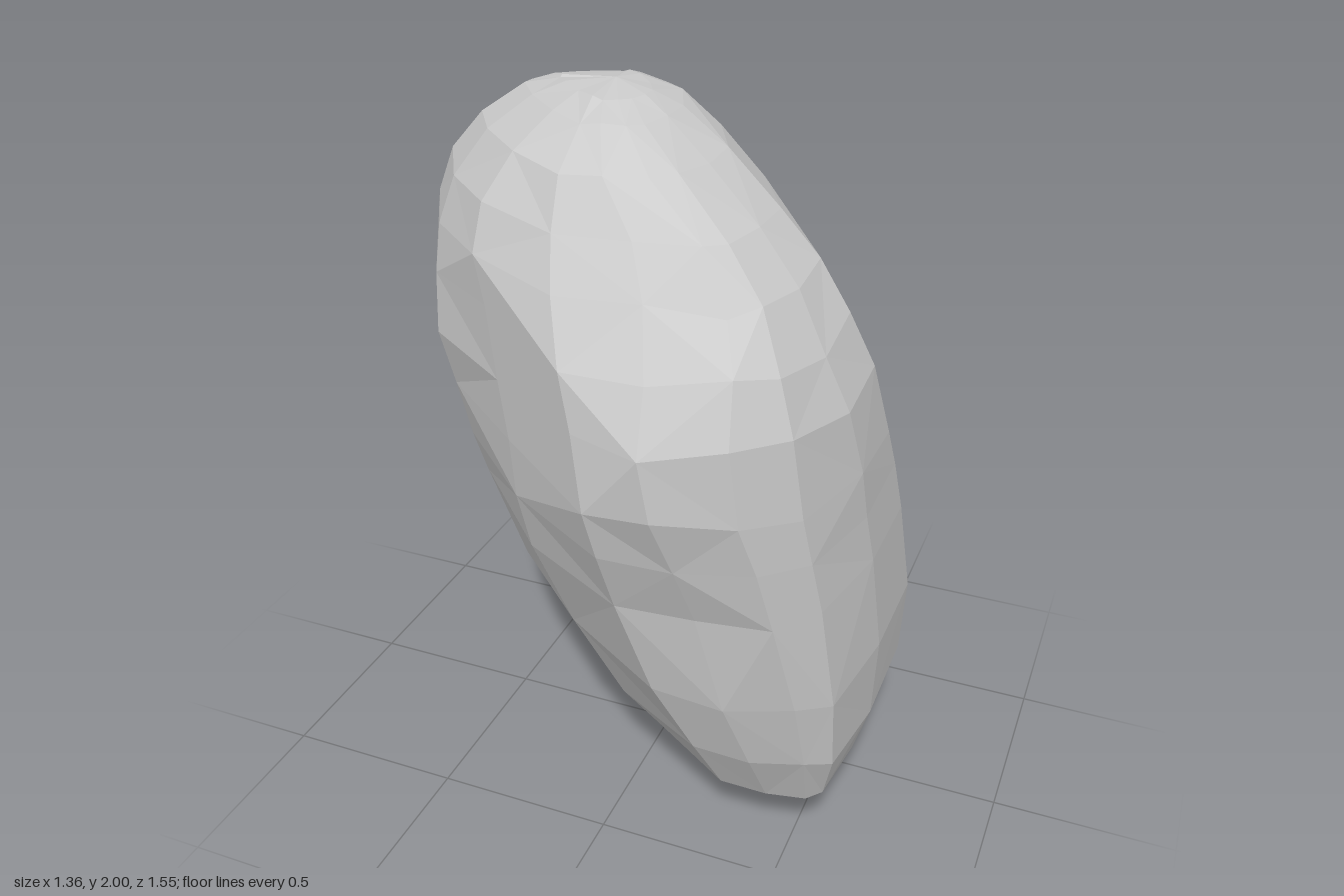
import * as THREE from 'three';

// Horizontal slices of the boulder: height, then its reach along eight
// compass directions (+x, +x+z, +z, -x+z, -x, -x-z, -z, +x-z).
const slices = [
  [0.02, 0.34, 0.27, 0.06, -0.08, 0.00, 0.26, 0.38, 0.42],
  [0.06, 0.47, 0.44, 0.18, 0.00, 0.10, 0.40, 0.50, 0.54],
  [0.12, 0.55, 0.56, 0.32, 0.06, 0.23, 0.50, 0.60, 0.61],
  [0.20, 0.61, 0.67, 0.42, 0.13, 0.33, 0.60, 0.68, 0.68],
  [0.37, 0.66, 0.735, 0.515, 0.24, 0.46, 0.71, 0.75, 0.69],
  [0.60, 0.675, 0.77, 0.59, 0.37, 0.58, 0.775, 0.77, 0.69],
  [0.90, 0.655, 0.79, 0.67, 0.48, 0.62, 0.79, 0.70, 0.60],
  [1.05, 0.64, 0.80, 0.72, 0.52, 0.64, 0.785, 0.65, 0.545],
  [1.20, 0.63, 0.805, 0.77, 0.56, 0.655, 0.77, 0.60, 0.485],
  [1.38, 0.60, 0.80, 0.78, 0.595, 0.68, 0.725, 0.50, 0.39],
  [1.52, 0.54, 0.755, 0.71, 0.585, 0.66, 0.665, 0.43, 0.315],
  [1.65, 0.46, 0.66, 0.61, 0.56, 0.64, 0.59, 0.37, 0.25],
  [1.76, 0.35, 0.55, 0.53, 0.515, 0.585, 0.51, 0.31, 0.19],
  [1.87, 0.20, 0.38, 0.45, 0.43, 0.49, 0.39, 0.22, 0.105],
  [1.95, 0.07, 0.23, 0.33, 0.32, 0.37, 0.27, 0.13, 0.03],
  [1.985, 0.00, 0.13, 0.24, 0.25, 0.25, 0.12, 0.02, -0.06],
];
const SIDES = 16;

function seeded(seed) {
  return () => {
    seed = (seed * 16807) % 2147483647;
    return seed / 2147483647;
  };
}

// Octagon touching the eight reaches, with each corner cut once: 16 points
function sliceOutline(reach) {
  const corners = reach.map((h, k) => {
    const g = reach[(k + 1) % 8];
    const a = (k * Math.PI) / 4;
    const t = (g - h * Math.SQRT1_2) / Math.SQRT1_2;
    return new THREE.Vector2(
      h * Math.cos(a) - t * Math.sin(a),
      h * Math.sin(a) + t * Math.cos(a)
    );
  });
  const points = [];
  corners.forEach((c, k) => {
    points.push(c.clone().lerp(corners[(k + 7) % 8], 0.28));
    points.push(c.clone().lerp(corners[(k + 1) % 8], 0.28));
  });
  return points;
}

function boulderGeometry() {
  const random = seeded(41);
  const positions = [];
  slices.forEach(([y, ...reach], j) => {
    const wobble = j > 3 && j < 12 ? 0.04 : 0.01;
    for (const p of sliceOutline(reach)) {
      const py = y + (random() - 0.5) * wobble;
      // Planed-off front corner
      let z = Math.min(p.y, 0.69 + 0.7 * p.x);
      // Shallow hollow under the front bulge
      if (z > 0) {
        const d2 = (p.x - 0.24) ** 2 + (py - 0.92) ** 2;
        z -= 0.06 * Math.exp(-d2 / 0.012);
      }
      positions.push(p.x, py, z);
    }
  });
  const bottom = positions.length / 3;
  positions.push(0.2, 0, -0.15);
  const top = bottom + 1;
  positions.push(-0.1, 2, 0.1);

  // Skin between slices, with varied diagonals, and closed ends
  const index = [];
  const last = (slices.length - 1) * SIDES;
  for (let i = 0; i < SIDES; i++) {
    const n = (i + 1) % SIDES;
    for (let j = 0; j < slices.length - 1; j++) {
      const a = j * SIDES + i, b = j * SIDES + n;
      const c = a + SIDES, d = b + SIDES;
      if ((i + j) % 2) index.push(a, c, b, b, c, d);
      else index.push(a, c, d, a, d, b);
    }
    index.push(i, n, bottom, last + i, top, last + n);
  }
  const geometry = new THREE.BufferGeometry();
  geometry.setAttribute('position', new THREE.Float32BufferAttribute(positions, 3));
  geometry.setIndex(index);
  geometry.computeVertexNormals();
  return geometry;
}

export function createModel() {
  const group = new THREE.Group();
  group.name = 'rock';
  const stone = new THREE.MeshStandardMaterial({ color: 0xcccccc, flatShading: true });
  const boulder = new THREE.Mesh(boulderGeometry(), stone);
  boulder.name = 'boulder';
  group.add(boulder);
  return group;
}
